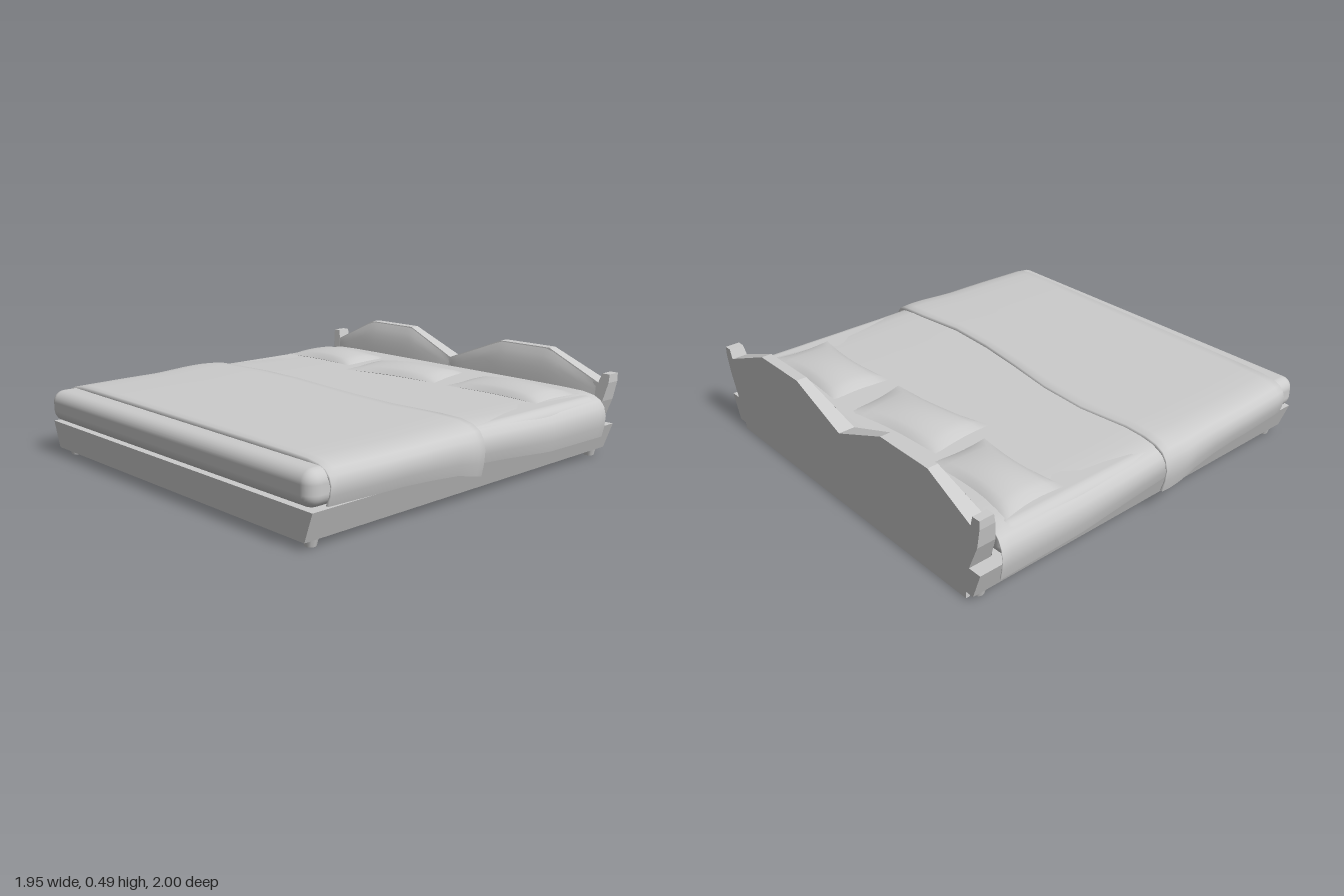
import * as THREE from 'three';
import { RoundedBoxGeometry } from 'three/addons/geometries/RoundedBoxGeometry.js';

const grey = new THREE.MeshStandardMaterial({ color: 0xcccccc, side: THREE.DoubleSide });

// Piecewise-linear lookup in a list of [position, value]
function lookup(table, x) {
  if (x <= table[0][0]) return table[0][1];
  for (let i = 1; i < table.length; i++) {
    const [x0, y0] = table[i - 1], [x1, y1] = table[i];
    if (x <= x1) return y0 + (y1 - y0) * (x - x0) / (x1 - x0);
  }
  return table[table.length - 1][1];
}

// Smooth surface patch from a rule fn(i, j) -> [x, y, z]
function patch(nu, nv, fn, flip = false) {
  const pos = [], index = [];
  for (let i = 0; i <= nu; i++) for (let j = 0; j <= nv; j++) pos.push(...fn(i, j));
  for (let i = 0; i < nu; i++) for (let j = 0; j < nv; j++) {
    const a = i * (nv + 1) + j, b = a + nv + 1, c = a + 1, d = b + 1;
    if (flip) index.push(a, b, c, c, b, d);
    else index.push(a, c, b, c, d, b);
  }
  const g = new THREE.BufferGeometry();
  g.setAttribute('position', new THREE.Float32BufferAttribute(pos, 3));
  g.setIndex(index);
  g.computeVertexNormals();
  return g;
}

// Outline in (z, y) extruded along x
function extrudeX(outline, x0, x1) {
  const shape = new THREE.Shape(outline.map(([z, y]) => new THREE.Vector2(-z, y)));
  const g = new THREE.ExtrudeGeometry(shape, { depth: x1 - x0, bevelEnabled: false });
  return g.rotateY(Math.PI / 2).translate(x0, 0, 0);
}

// Half cross-section of a draped cover: [share of half width, share of height above hem]
const drape = [[0, 1], [0.25, 1], [0.5, 1], [0.75, 0.995], [0.86, 0.98], [0.925, 0.93],
  [0.965, 0.84], [0.988, 0.7], [1, 0.5], [0.995, 0.25], [0.982, 0]];
const section = [...drape.slice(1).reverse().map(([w, h]) => [-w, h]), ...drape];

function cover({ foot, head, width, top, hem, fold }) {
  const rows = 24, cols = section.length - 1;
  return patch(rows, cols, (i, j) => {
    const [w, h] = section[j];
    const u = Math.min(Math.max((i - 1) / (rows - 2), 0), 1);
    const x = lookup(foot, w) * (1 - u) + lookup(head, w) * u;
    const low = lookup(hem, x), high = lookup(top, x);
    const tuck = i === 0 || i === rows ? fold : 0;
    return [x, low + h * (high - low) - tuck * h, w * (lookup(width, x) - tuck * 0.7 * (1 - h))];
  });
}

// Pillow with pinched sides, from four corners [x, z]
function pillow(corners) {
  const n = 12, [a, b, c, d] = corners;
  const cx = (a[0] + b[0] + c[0] + d[0]) / 4, cz = (a[1] + b[1] + c[1] + d[1]) / 4;
  const half = (sign) => patch(n, n, (i, j) => {
    const s = i / n, t = j / n;
    const mix = (k) => (a[k] * (1 - s) + b[k] * s) * (1 - t) + (d[k] * (1 - s) + c[k] * s) * t;
    const hs = Math.sin(Math.PI * s), ht = Math.sin(Math.PI * t);
    const x = cx + (mix(0) - cx) * (1 - 0.15 * ht);
    const z = cz + (mix(1) - cz) * (1 - 0.07 * hs);
    const puff = Math.pow(Math.max(hs * ht, 0), 0.5);
    return [x, 0.318 + sign * puff * (sign > 0 ? 0.042 : 0.025), z];
  }, sign < 0);
  return [half(1), half(-1)];
}

export function createModel() {
  const bed = new THREE.Group();
  bed.name = 'bed';
  const add = (name, geometry, parent = bed) => {
    const mesh = new THREE.Mesh(geometry, grey);
    mesh.name = name;
    parent.add(mesh);
    return mesh;
  };

  // Frame with sides leaning outwards
  add('bedFrame', extrudeX([[0.9, 0.035], [0.945, 0.16], [-0.935, 0.16], [-0.89, 0.035]], -0.965, 0.975));

  // Feet
  for (const x of [-0.9, 0.915]) for (const z of [-0.85, 0.86]) {
    add('foot', new THREE.CylinderGeometry(0.034, 0.024, 0.04, 10)).position.set(x, 0.02, z);
  }

  // Headboard: twin peaks between two corner horns, its front leaning back
  const peaks = [[0.9, 0.365], [0.595, 0.49], [0.295, 0.49], [-0.02, 0.365],
    [-0.33, 0.49], [-0.635, 0.49], [-0.885, 0.365]];
  const front = [[0.12, 0.855], [0.16, 0.868], [0.41, 0.905], [0.49, 0.925]];
  const board = extrudeX([[0.885, 0.15], [0.935, 0.28], [0.955, 0.37], [0.955, 0.41], [0.915, 0.41],
    ...peaks, [-0.895, 0.41], [-0.935, 0.41], [-0.935, 0.37], [-0.92, 0.28], [-0.865, 0.15]], 0, 0.975);
  const p = board.attributes.position;
  for (let i = 0; i < p.count; i++) if (p.getX(i) < 0.5) p.setX(i, lookup(front, p.getY(i)));
  board.computeVertexNormals();
  add('headboard', board);

  // Skirting beneath the headboard
  const skirting = add('headboardSkirting', new THREE.BoxGeometry(0.02, 0.04, 1.7));
  skirting.position.set(0.963, 0.02, 0.005);

  // Padding on the headboard, one panel per peak
  const rising = [...peaks].reverse();
  for (const [z0, z1] of [[-0.88, -0.025], [-0.015, 0.89]]) {
    add('headboardPadding', patch(10, 20, (i, j) => {
      const z = z0 + (z1 - z0) * j / 20;
      const y = 0.17 + (lookup(rising, z) - 0.175) * i / 10;
      const puff = Math.sqrt(Math.max(0, Math.sin(Math.PI * i / 10) * Math.sin(Math.PI * j / 20)));
      return [lookup(front, y) - 0.018 * puff, y, z];
    }));
  }

  // Mattress
  add('mattress', new RoundedBoxGeometry(1.835, 0.15, 1.89, 4, 0.055)).position.set(-0.06, 0.238, 0.002);

  // Sheet over the head half
  add('sheet', cover({
    foot: [[-1, -0.12], [1, -0.12]],
    head: [[-1, 0.9], [-0.9, 0.875], [0.9, 0.865], [1, 0.857]],
    width: [[-0.12, 0.965], [0.1, 0.97], [0.4, 0.972], [0.9, 0.978]],
    top: [[-0.12, 0.328], [0.05, 0.326], [0.25, 0.319], [0.45, 0.315], [0.9, 0.325]],
    hem: [[-0.05, 0.16], [0.12, 0.15], [0.45, 0.12], [0.9, 0.118]],
    fold: 0.01,
  }));

  // Blanket over the foot half, with a wavy upper edge
  add('blanket', cover({
    foot: [[-1, -0.86], [1, -0.89]],
    head: [[-1, -0.005], [-0.76, -0.012], [-0.4, 0.03], [0, -0.03], [0.42, -0.083], [0.82, -0.04], [1, -0.058]],
    width: [[-0.89, 0.965], [-0.6, 0.978], [-0.35, 0.982], [-0.14, 1], [0.03, 0.988]],
    top: [[-0.89, 0.332], [-0.4, 0.333], [-0.2, 0.342], [-0.07, 0.346], [0.03, 0.338]],
    hem: [[-0.89, 0.168], [-0.5, 0.165], [-0.2, 0.148], [-0.06, 0.115]],
    fold: 0.02,
  }));

  // Pillows
  const pillows = [
    [[0.49, -0.88], [0.81, -0.895], [0.8, -0.385], [0.495, -0.395]],
    [[0.405, -0.325], [0.735, -0.375], [0.815, 0.185], [0.49, 0.23]],
    [[0.485, 0.305], [0.805, 0.285], [0.8, 0.86], [0.48, 0.85]],
  ];
  for (const corners of pillows) {
    const group = new THREE.Group();
    group.name = 'pillow';
    const [upper, lower] = pillow(corners);
    add('pillowTop', upper, group);
    add('pillowUnderside', lower, group);
    bed.add(group);
  }
  return bed;
}
